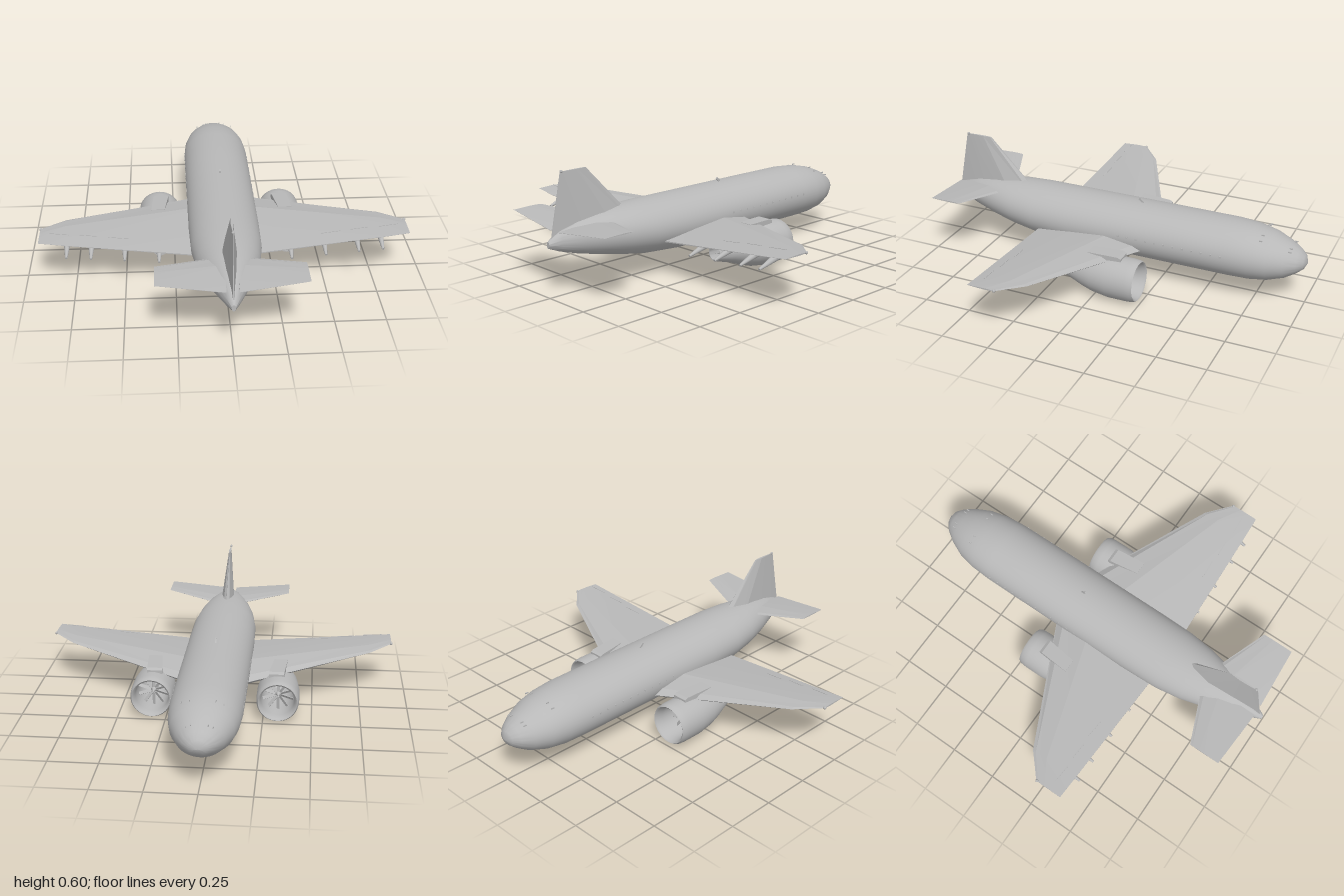
import * as THREE from 'three';
import { toCreasedNormals } from 'three/addons/utils/BufferGeometryUtils.js';

const paint = new THREE.MeshStandardMaterial({ color: 0xb8b8b8 });
paint.name = 'light grey paint';

// Skins a list of equal-length rings of [x, y, z]; joins last to first ring, or caps both ends
function loft(rings, crease, joined = false) {
  const n = rings[0].length, pos = [];
  const tri = (a, b, c) => pos.push(...a, ...b, ...c);
  const last = joined ? rings.length : rings.length - 1;
  for (let i = 0; i < last; i++) {
    const A = rings[i], B = rings[(i + 1) % rings.length];
    for (let j = 0; j < n; j++) {
      const k = (j + 1) % n;
      tri(A[j], B[j], B[k]);
      tri(A[j], B[k], A[k]);
    }
  }
  if (!joined) {
    const mid = r => [0, 1, 2].map(c => r.reduce((s, p) => s + p[c], 0) / n);
    const A = rings[0], B = rings[rings.length - 1], ma = mid(A), mb = mid(B);
    for (let j = 0; j < n; j++) {
      const k = (j + 1) % n;
      tri(ma, A[j], A[k]);
      tri(mb, B[k], B[j]);
    }
  }
  // Turn all corners round if the solid came out inside out
  let vol = 0;
  const v = i => new THREE.Vector3(pos[i], pos[i + 1], pos[i + 2]);
  for (let i = 0; i < pos.length; i += 9) vol += v(i).dot(v(i + 3).cross(v(i + 6)));
  if (vol < 0) {
    for (let i = 0; i < pos.length; i += 9) {
      for (let c = 0; c < 3; c++) [pos[i + 3 + c], pos[i + 6 + c]] = [pos[i + 6 + c], pos[i + 3 + c]];
    }
  }
  const g = new THREE.BufferGeometry();
  g.setAttribute('position', new THREE.Float32BufferAttribute(pos, 3));
  g.computeVertexNormals();
  return crease ? toCreasedNormals(g, crease) : g;
}

function ellipse(cx, cy, z, rx, ry, n) {
  return Array.from({ length: n }, (_, i) => {
    const a = (i / n) * Math.PI * 2;
    return [cx + Math.cos(a) * rx, cy + Math.sin(a) * ry, z];
  });
}

// Faceted aerofoil: chord fraction, half thickness fraction
const FOIL = [[0, 0], [0.07, 0.25], [0.33, 0.5], [0.65, 0.32], [1, 0.03],
  [1, -0.03], [0.65, -0.32], [0.33, -0.5], [0.07, -0.25]];
// Stations are [span, leading z, trailing z, offset, thickness]
function foil(stations, place) {
  return loft(stations.map(([s, le, te, off, t]) =>
    FOIL.map(([c, h]) => place(s, off + h * t, le + (te - le) * c))), 0.12);
}

// Fuselage stations: z, top y, bottom y, half width
const HULL = [
  [-1, 0.236, 0.228, 0.004], [-0.985, 0.268, 0.198, 0.045], [-0.955, 0.293, 0.173, 0.077],
  [-0.9, 0.325, 0.14, 0.114], [-0.82, 0.356, 0.115, 0.15], [-0.73, 0.376, 0.103, 0.169],
  [-0.62, 0.385, 0.101, 0.177], [-0.3, 0.386, 0.101, 0.178], [0.25, 0.386, 0.101, 0.178],
  [0.46, 0.386, 0.117, 0.173], [0.6, 0.382, 0.14, 0.154], [0.72, 0.373, 0.165, 0.123],
  [0.84, 0.353, 0.193, 0.078], [0.94, 0.321, 0.223, 0.038], [1, 0.28, 0.248, 0.01]];

export function createModel() {
  const model = new THREE.Group();
  model.name = 'airliner';
  const add = (geo, name, parent = model) => {
    const m = new THREE.Mesh(geo, paint);
    m.name = name;
    parent.add(m);
    return m;
  };

  add(loft(HULL.map(([z, t, b, w]) => ellipse(0, (t + b) / 2, z, w, (t - b) / 2, 48)), 0.9), 'fuselage');

  // Tail fin, with its small tip beacon
  add(foil([[0.29, 0.47, 0.98, 0, 0.088], [0.6, 0.77, 0.92, 0, 0.012]],
    (s, o, z) => [o, s, z]), 'tailFin');
  add(new THREE.SphereGeometry(0.007, 10, 8), 'tailBeacon').position.set(0, 0.6, 0.912);

  // Swept blade aerial on the roof
  const aerial = add(new THREE.BoxGeometry(0.006, 0.03, 0.012), 'roofAerial');
  aerial.position.set(0, 0.395, -0.107);
  aerial.rotation.x = 0.8;

  for (const s of [1, -1]) {
    const side = s > 0 ? 'left' : 'right';
    const across = (x, y, z) => [s * x, y, z];

    add(foil([[0.08, -0.215, 0.42, 0.188, 0.11], [0.8, 0.137, 0.395, 0.258, 0.025],
      [0.92, 0.245, 0.39, 0.271, 0.008]], across), side + 'Wing');
    add(foil([[0.03, 0.652, 0.963, 0.323, 0.034], [0.35, 0.78, 0.945, 0.358, 0.006]],
      across), side + 'Tailplane');
    add(new THREE.SphereGeometry(0.008, 10, 8), side + 'WingtipLight').position.set(s * 0.918, 0.271, 0.247);

    // Spoiler strips just above the wing
    for (const [x, w, y] of [[0.53, 0.1, 0.256], [0.675, 0.09, 0.274], [0.82, 0.1, 0.287]]) {
      const strip = add(new THREE.BoxGeometry(w, 0.002, 0.004), side + 'Spoiler');
      strip.position.set(s * x, y, 0.33);
      strip.rotation.set(0, s * 0.06, s * 0.09);
    }

    // Flap track fairings, drooping towards the trailing edge
    for (const [x, y] of [[0.33, 0.178], [0.5, 0.194], [0.665, 0.208], [0.785, 0.217]]) {
      const pod = add(new THREE.CylinderGeometry(0.006, 0.02, 0.13, 12), side + 'FlapFairing');
      pod.position.set(s * x, y, 0.352);
      pod.rotation.x = Math.PI / 2 + 0.3;
    }

    // Engine: hollow nacelle, two bladed wheels with hubs, and a pylon
    const engine = new THREE.Group();
    engine.name = side + 'Engine';
    engine.position.x = s * 0.325;
    model.add(engine);
    const shell = [[0.24, 0.134, 0.04], [0.14, 0.126, 0.059], [0.06, 0.12, 0.084], [0, 0.117, 0.099],
      [-0.09, 0.115, 0.11], [-0.19, 0.115, 0.11], [-0.222, 0.115, 0.107], [-0.234, 0.115, 0.1],
      [-0.228, 0.115, 0.092], [-0.19, 0.115, 0.086], [-0.1, 0.115, 0.084], [0, 0.117, 0.08],
      [0.12, 0.126, 0.055], [0.24, 0.134, 0.036]];
    add(loft(shell.map(([z, y, r]) => ellipse(0, y, z, r, r, 36)), 0.8, true), 'nacelle', engine);
    for (const [z, y, r] of [[-0.12, 0.115, 0.084], [0.19, 0.13, 0.045]]) {
      const wheel = new THREE.Group();
      wheel.name = z < 0 ? 'fan' : 'turbine';
      wheel.position.set(0, y, z);
      engine.add(wheel);
      const hub = add(new THREE.ConeGeometry(r * 0.28, r * 0.7, 16), 'hub', wheel);
      hub.rotation.x = z < 0 ? -Math.PI / 2 : Math.PI / 2;
      for (let i = 0; i < 10; i++) {
        const spoke = new THREE.Group();
        spoke.name = 'bladeMount';
        spoke.rotation.z = (i / 10) * Math.PI * 2;
        wheel.add(spoke);
        const blade = add(new THREE.BoxGeometry(r * 0.2, r * 0.8, 0.003), 'blade', spoke);
        blade.position.y = r * 0.58;
        blade.rotation.y = 0.6;
      }
    }
    const pylonRing = (z, x0, x1, y0, y1) => [across(x0, y0, z), across(x1, y0, z), across(x1, y1, z), across(x0, y1, z)];
    add(loft([pylonRing(-0.145, 0.277, 0.354, 0.2, 0.234), pylonRing(-0.13, 0.276, 0.355, 0.2, 0.243),
      pylonRing(0.03, 0.298, 0.368, 0.17, 0.247)], 0.3), side + 'Pylon');

    // Cabin windows
    for (let i = 0; i < 12; i++) {
      add(new THREE.BoxGeometry(0.004, 0.01, 0.008), side + 'CabinWindow').position.set(s * 0.176, 0.26, -0.6 + i * 0.05);
    }
    // Cockpit roof markers
    for (const [x, y, z] of [[0.06, 0.366, -0.78], [0.098, 0.352, -0.78], [0.04, 0.311, -0.92], [0.062, 0.302, -0.92]]) {
      add(new THREE.BoxGeometry(0.004, 0.006, 0.016), side + 'CockpitMarker').position.set(s * x, y, z);
    }
  }
  return model;
}
